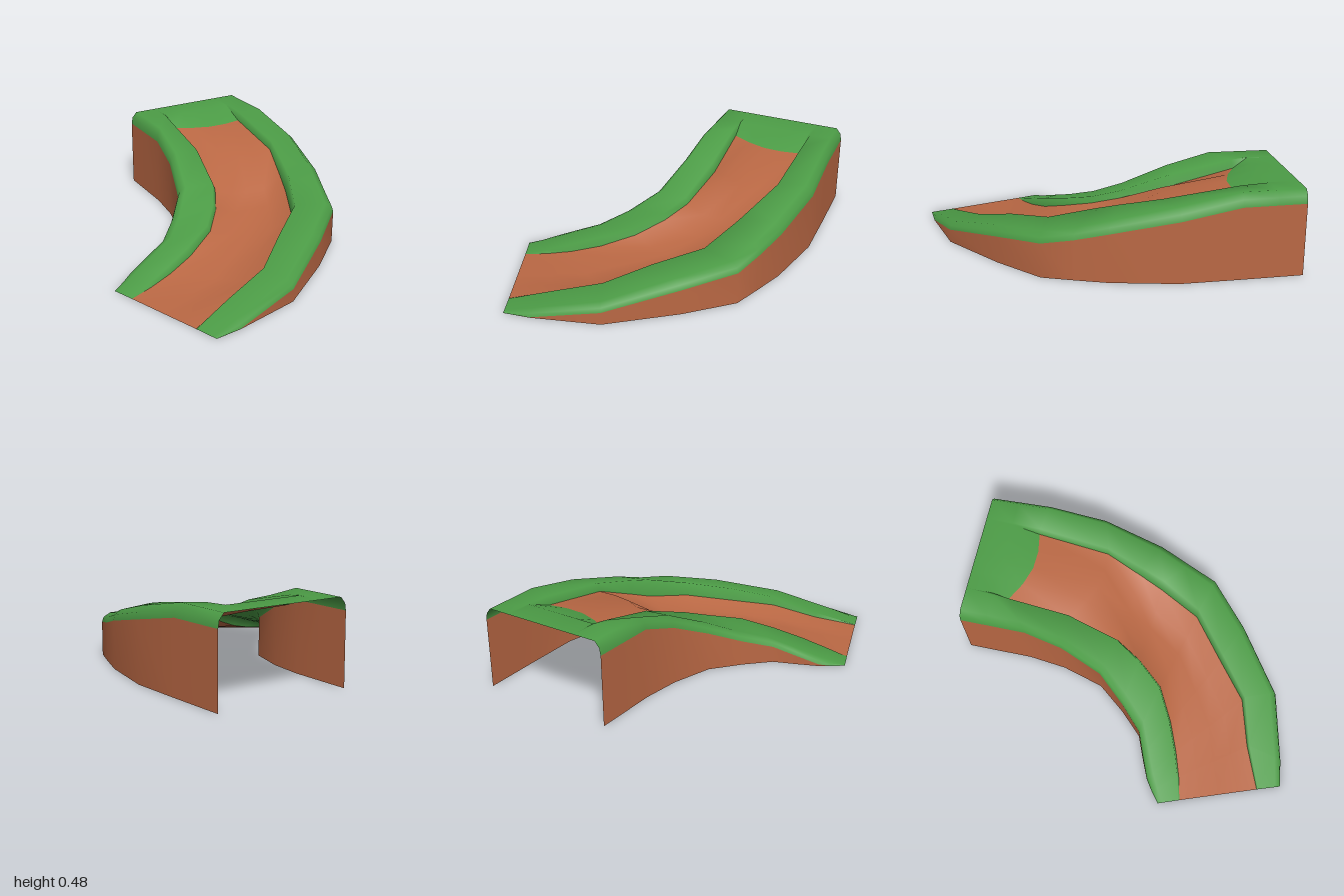
import * as THREE from 'three';

// Flat station on the landing
const TOP = 0.48;
const landingStation = (z, outerRight) =>
  [-.045, z, .13, z, .58, z, outerRight, z, ...Array(7).fill(TOP)];

// Stations along the curve: outer left x,z | inner left x,z | inner right x,z | outer right x,z |
// ridge height left, right | lip height left, right | inner edge height left, right | floor height
const slope = [
  [-.045, -.62, .13, -.76, .58, -.68, .765, -.65, TOP, TOP, .47, .47, .42, .42, .42],
  [-.07, -.4, .13, -.4, .565, -.26, .775, -.32, .405, .415, .395, .41, .33, .36, .36],
  [-.14, -.16, .08, -.1, .5, -.04, .71, .05, .285, .335, .29, .365, .25, .28, .21],
  [-.27, 0, 0, .05, .46, .09, .65, .23, .2, .285, .235, .335, .2, .23, .155],
  [-.4, .13, -.12, .2, .35, .33, .59, .4, .143, .25, .19, .26, .15, .18, .115],
  [-.53, .18, -.3, .3, .12, .52, .35, .62, .095, .205, .135, .205, .085, .13, .08],
  [-.65, .23, -.46, .365, -.08, .69, 0, .88, .05, .12, .085, .135, .045, .085, .04],
  [-.71, .27, -.6, .41, -.34, .77, -.38, .98, .024, .04, .04, .06, .02, .035, .018],
];
const tip = [-.775, .32, -.73, .44, -.575, .87, -.53, 1, ...Array(7).fill(0)];
const stations = [landingStation(-1, .75), landingStation(-.84, .757), ...slope, tip];

// Skin a grid of points; rows run forward, columns run left to right
function skin(name, rows, material) {
  const cols = rows[0].length;
  const index = [];
  for (let i = 0; i < rows.length - 1; i++) {
    for (let j = 0; j < cols - 1; j++) {
      const a = i * cols + j, b = a + cols;
      index.push(a, b, a + 1, a + 1, b, b + 1);
    }
  }
  const geometry = new THREE.BufferGeometry();
  geometry.setAttribute('position', new THREE.Float32BufferAttribute(rows.flat(2), 3));
  geometry.setIndex(index);
  geometry.computeVertexNormals();
  const mesh = new THREE.Mesh(geometry, material);
  mesh.name = name;
  return mesh;
}

const wallTop = (h) => Math.max(0, h * 0.92 - 0.035);

// Wall from the ground to the grass edge
const wallRow = (x, z, h) => [[x, 0, z], [x, wallTop(h), z]];

// Grass bank: rounded outer edge, ridge, inner lip, then a short drop to the path
function bankRow(ox, oz, ix, iz, h, lipH, innerH) {
  const w = wallTop(h);
  const at = (t, y) => [ox + (ix - ox) * t, y, oz + (iz - oz) * t];
  return [
    at(0, w),
    at(0.04, w + (h - w) * 0.55),
    at(0.2, h),
    at(0.94, lipH),
    at(1, innerH),
  ];
}

// Dirt path between the two inner edges
function floorRow([, , lx, lz, rx, rz, , , , , , , lh, rh, f], bow) {
  return [0, 0.25, 0.5, 0.75, 1].map((t, j) => [
    lx + (rx - lx) * t,
    j === 0 ? lh : j === 4 ? rh : f,
    lz + (rz - lz) * t + bow * Math.sin(Math.PI * t),
  ]);
}

export function createModel() {
  const grass = new THREE.MeshStandardMaterial({ color: 0x4c9c46, side: THREE.DoubleSide });
  grass.name = 'grass green';
  const dirt = new THREE.MeshStandardMaterial({ color: 0xba6844, side: THREE.DoubleSide });
  dirt.name = 'dirt brown';

  const group = new THREE.Group();
  group.name = 'curvedRamp';

  // Outer walls
  group.add(skin('leftWall', stations.map((s) => wallRow(s[0], s[1], s[8])), dirt));
  group.add(skin('rightWall', stations.map((s) => wallRow(s[6], s[7], s[9]).reverse()), dirt));

  // Grass banks on both sides
  group.add(skin('leftBank',
    stations.map((s) => bankRow(s[0], s[1], s[2], s[3], s[8], s[10], s[12])), grass));
  group.add(skin('rightBank',
    stations.map((s) => bankRow(s[6], s[7], s[4], s[5], s[9], s[11], s[13]).reverse()), grass));

  // Grass landing at the high end, and the sunken path leading down from it
  const rows = stations.map((s, i) => floorRow(s, i === 2 || i === 3 ? 0.055 : 0));
  group.add(skin('landing', rows.slice(0, 3), grass));
  group.add(skin('path', rows.slice(2), dirt));

  return group;
}
